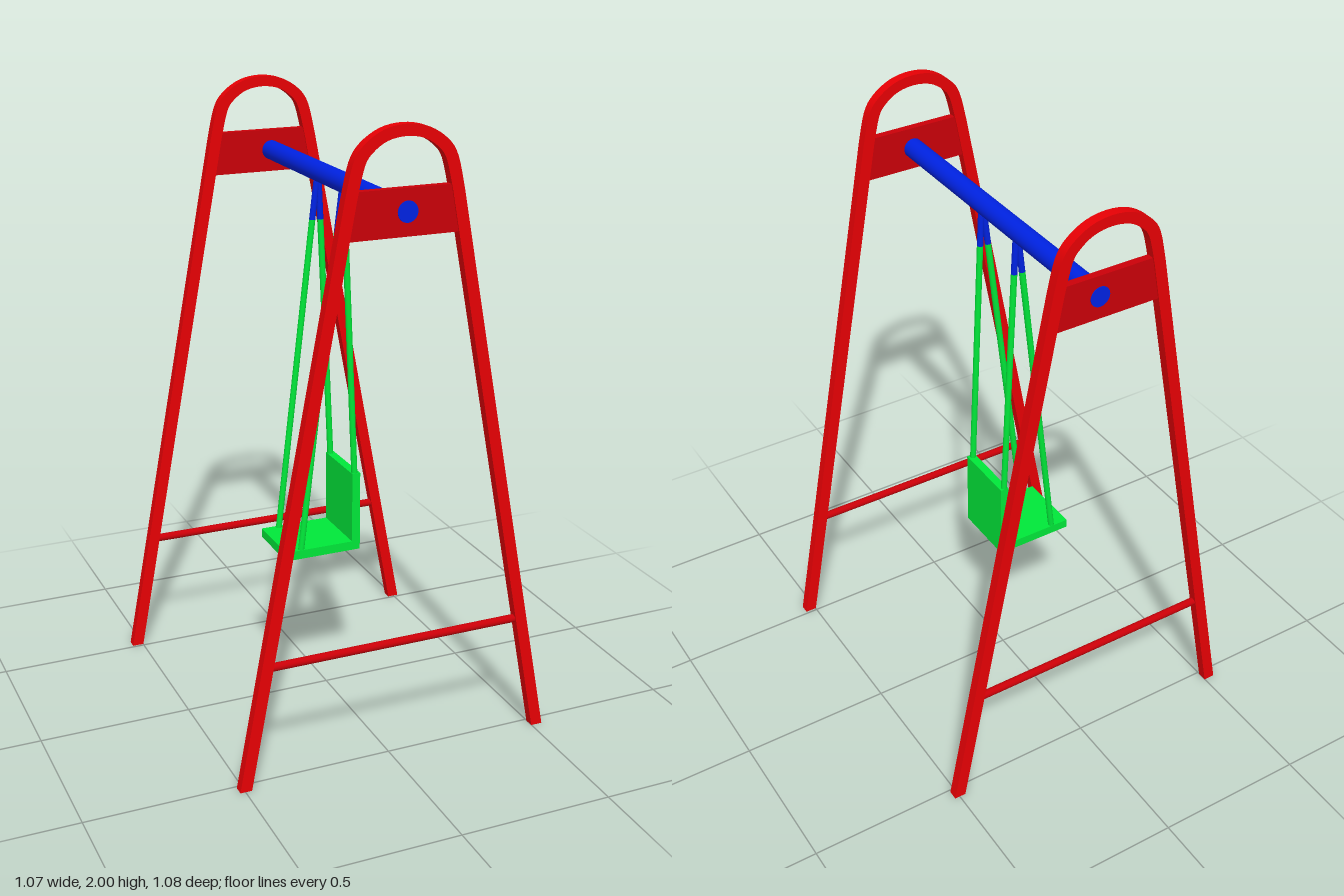
import * as THREE from 'three';
import { toCreasedNormals } from 'three/addons/utils/BufferGeometryUtils.js';

const mat = (name, color) => Object.assign(new THREE.MeshStandardMaterial({ color }), { name });

export function createModel() {
  const red = mat('frame red', 0xea0004);
  const darkRed = mat('plate red', 0xca0008);
  const blue = mat('beam blue', 0x0022e2);
  const green = mat('swing green', 0x00ea3a);

  const model = new THREE.Group();
  model.name = 'swingSet';

  const add = (parent, name, geometry, material, x = 0, y = 0, z = 0) => {
    const mesh = new THREE.Mesh(geometry, material);
    mesh.name = name;
    mesh.position.set(x, y, z);
    parent.add(mesh);
    return mesh;
  };
  // Round rod between two points
  const rod = (parent, name, a, b, r, material, sides = 16) => {
    const from = new THREE.Vector3(...a), to = new THREE.Vector3(...b);
    const dir = to.clone().sub(from);
    const mesh = add(parent, name, new THREE.CylinderGeometry(r, r, dir.length(), sides), material);
    mesh.position.copy(from).add(to).multiplyScalar(0.5);
    mesh.quaternion.setFromUnitVectors(new THREE.Vector3(0, 1, 0), dir.normalize());
    return mesh;
  };

  // Arch outline: straight legs joined by a rounded top
  const mirrored = (half) => {
    const right = half.map(([x, y]) => new THREE.Vector2(x, y));
    const left = half.slice(0, -1).reverse().map(([x, y]) => new THREE.Vector2(-x, y));
    return new THREE.SplineCurve([...right, ...left]).getPoints(32);
  };
  const outer = mirrored([[0.187, 1.8], [0.163, 1.9], [0.13, 1.95], [0.07, 1.988], [0, 2]]);
  const inner = mirrored([[0.149, 1.8], [0.127, 1.89], [0.102, 1.927], [0.058, 1.956], [0, 1.966]]);
  const outline = [
    new THREE.Vector2(0.527, 0), ...outer, new THREE.Vector2(-0.527, 0),
    new THREE.Vector2(-0.489, 0), ...inner.reverse(), new THREE.Vector2(0.489, 0),
  ];
  const depth = 0.032;
  const archGeometry = toCreasedNormals(
    new THREE.ExtrudeGeometry(new THREE.Shape(outline), { depth, bevelEnabled: false })
      .translate(0, 0, -depth / 2), 0.5);

  // Plate follows the taper of the legs
  const plateShape = new THREE.Shape([
    new THREE.Vector2(-0.18, 1.68), new THREE.Vector2(0.18, 1.68),
    new THREE.Vector2(0.155, 1.82), new THREE.Vector2(-0.155, 1.82),
  ]);
  const plateGeometry = new THREE.ExtrudeGeometry(plateShape, { depth: 0.024, bevelEnabled: false })
    .translate(0, 0, -0.012);

  // Two end frames, slightly offset from each other
  for (const [name, x, z] of [['frontFrame', 0.01, 0.524], ['backFrame', -0.01, -0.524]]) {
    const frame = new THREE.Group();
    frame.name = name;
    frame.position.set(x, 0, z);
    add(frame, 'arch', archGeometry, red);
    add(frame, 'beamPlate', plateGeometry, darkRed);
    rod(frame, 'crossbar', [-0.435, 0.398, 0], [0.435, 0.398, 0], 0.013, darkRed);
    model.add(frame);
  }

  // Top beam passing through both plates
  rod(model, 'beam', [0.019, 1.752, -0.538], [0.019, 1.752, 0.538], 0.032, blue, 32);

  // Swing: hangers, seat and backrest
  const swing = new THREE.Group();
  swing.name = 'swing';
  for (const z of [-0.098, 0.098]) {
    rod(swing, 'frontHangerTop', [0.01, 1.73, z], [-0.006, 1.6, z], 0.01, blue);
    rod(swing, 'frontHanger', [-0.006, 1.6, z], [-0.132, 0.55, z], 0.01, green);
    rod(swing, 'rearHangerTop', [0.016, 1.73, z], [0.022, 1.6, z], 0.01, blue);
    rod(swing, 'rearHanger', [0.022, 1.6, z], [0.058, 0.78, z], 0.01, green);
  }
  add(swing, 'seat', new THREE.BoxGeometry(0.234, 0.03, 0.216), green, -0.071, 0.545, 0);
  add(swing, 'backrest', new THREE.BoxGeometry(0.028, 0.268, 0.216), green, 0.06, 0.664, 0);
  model.add(swing);

  return model;
}
